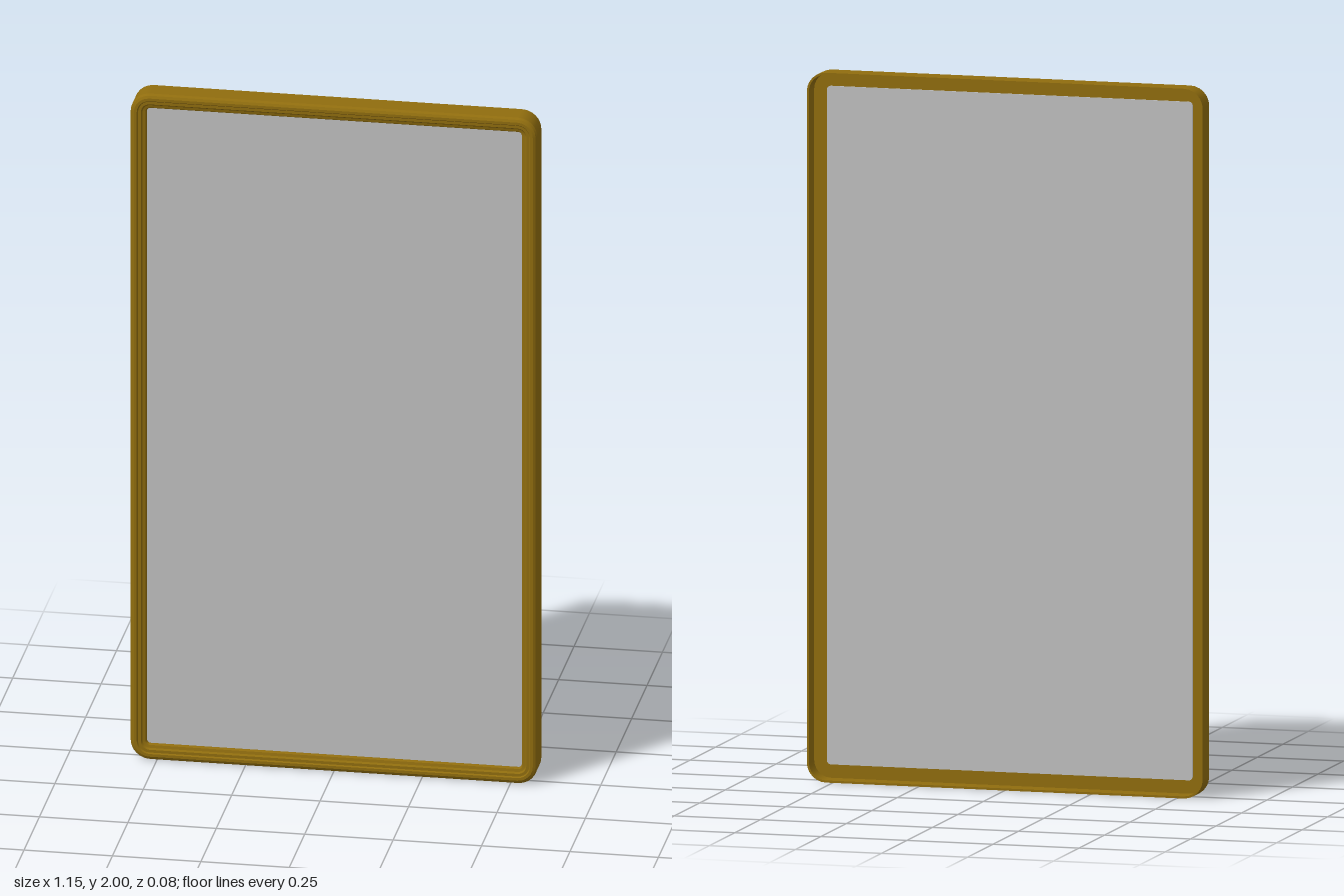
import * as THREE from 'three';

const W = 1.15, H = 2, R = 0.055, CORNER_STEPS = 6;

// Rounded-rectangle outline, counter-clockwise: corner centre plus outward angle
function outline() {
  const points = [];
  const cx = W / 2 - R, cy = H / 2 - R;
  [[1, 1], [-1, 1], [-1, -1], [1, -1]].forEach(([sx, sy], corner) => {
    for (let i = 0; i <= CORNER_STEPS; i++) {
      const a = (corner + i / CORNER_STEPS) * Math.PI / 2;
      points.push({ x: sx * cx, y: sy * cy + H / 2, c: Math.cos(a), s: Math.sin(a) });
    }
  });
  return points;
}

// Sweeps a closed [inset, z] profile around the outline, creased between strips
function sweepFrame(profile) {
  const loop = outline(), pos = [], nor = [], index = [];
  profile.forEach(([d0, z0], k) => {
    const [d1, z1] = profile[(k + 1) % profile.length];
    const n = new THREE.Vector2(z1 - z0, d1 - d0).normalize();
    const base = pos.length / 3;
    for (const p of loop) {
      for (const [d, z] of [[d0, z0], [d1, z1]]) {
        pos.push(p.x + p.c * (R - d), p.y + p.s * (R - d), z);
        nor.push(p.c * n.x, p.s * n.x, n.y);
      }
    }
    for (let i = 0; i < loop.length; i++) {
      const a = base + i * 2, b = base + ((i + 1) % loop.length) * 2;
      index.push(a, b, b + 1, a, b + 1, a + 1);
    }
  });
  const geometry = new THREE.BufferGeometry();
  geometry.setAttribute('position', new THREE.Float32BufferAttribute(pos, 3));
  geometry.setAttribute('normal', new THREE.Float32BufferAttribute(nor, 3));
  geometry.setIndex(index);
  return geometry;
}

export function createModel() {
  const gold = new THREE.MeshStandardMaterial({ color: 0x906d0e });
  gold.name = 'dark gold';
  const silver = new THREE.MeshStandardMaterial({ color: 0xc0c0c0 });
  silver.name = 'silver';

  const model = new THREE.Group();
  model.name = 'framedPanel';

  // Moulded frame: outer wall, stepped front, inner lip, hollow back
  const frame = new THREE.Mesh(sweepFrame([
    [0, -0.04], [0, 0.024], [0.004, 0.031], [0.011, 0.035], [0.019, 0.035],
    [0.022, 0.031], [0.03, 0.031], [0.034, 0.026], [0.042, 0.024],
    [0.045, 0.019], [0.045, 0.012], [0.006, 0.012], [0.006, -0.04],
  ]), gold);
  frame.name = 'frame';
  model.add(frame);

  // Flat panel set into the frame, with rounded corners
  const shape = new THREE.Shape(
    outline().map(p => new THREE.Vector2(p.x + p.c * (R - 0.044), p.y + p.s * (R - 0.044))));
  const panel = new THREE.Mesh(
    new THREE.ExtrudeGeometry(shape, { depth: 0.006, bevelEnabled: false }), silver);
  panel.position.z = 0.009;
  panel.name = 'panel';
  model.add(panel);

  return model;
}
